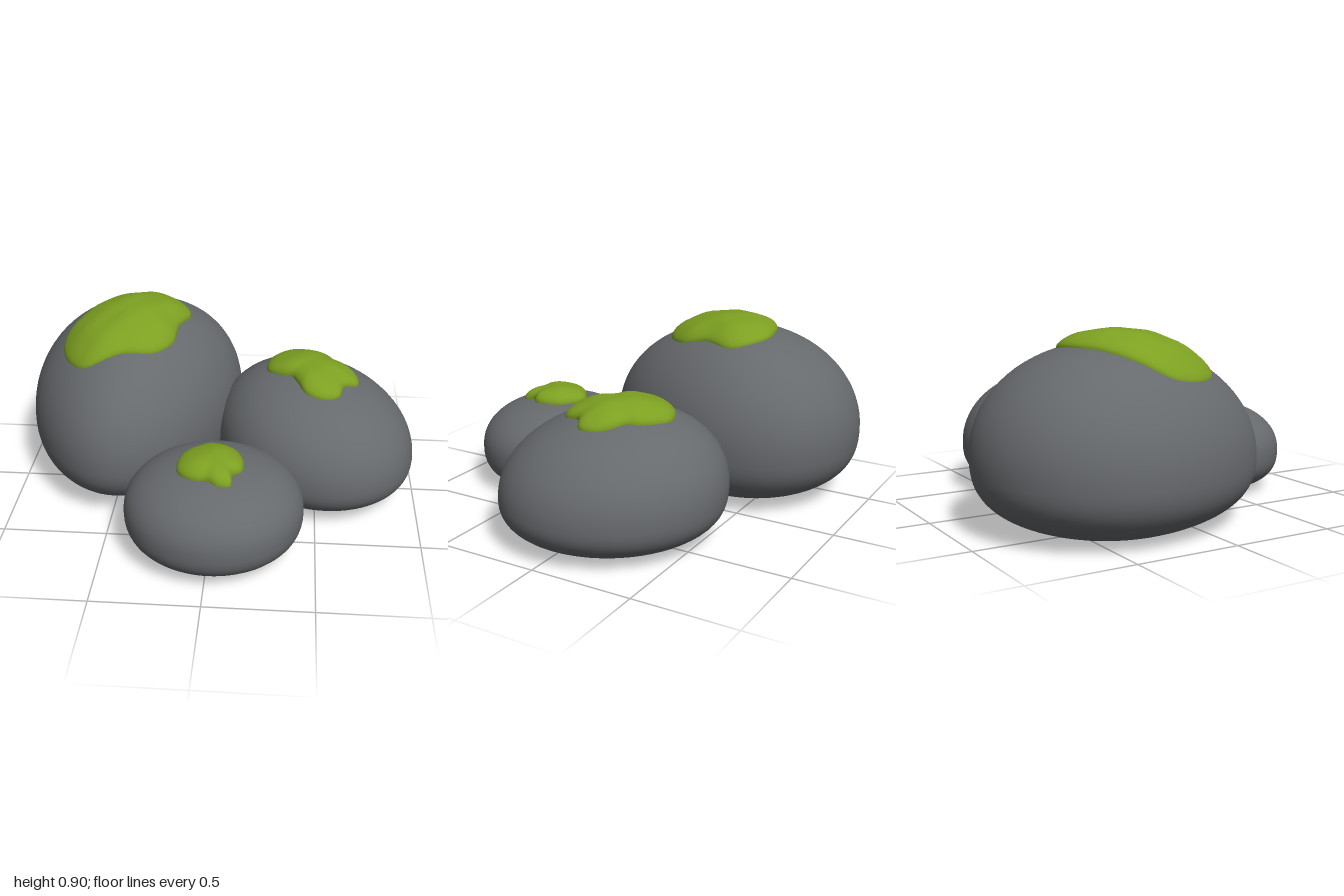
import * as THREE from 'three';

const SEGMENTS = 72;
const HALF_PI = Math.PI / 2;

// Closed skin over rings of points, ending in a tip (and starting from one if given)
function skin(rings, last, first) {
  const points = [...rings.flat(), last];
  const index = [];
  const tip = points.length - 1;
  const base = tip - SEGMENTS;
  if (first) points.push(first);
  for (let j = 0; j < SEGMENTS; j++) {
    const k = (j + 1) % SEGMENTS;
    for (let i = 0; i < base; i += SEGMENTS) {
      const a = i + j, b = i + k, c = a + SEGMENTS, d = b + SEGMENTS;
      index.push(a, c, b, b, c, d);
    }
    index.push(base + j, tip, base + k);
    if (first) index.push(tip + 1, j, k);
  }
  const geometry = new THREE.BufferGeometry().setFromPoints(points);
  geometry.setIndex(index);
  geometry.computeVertexNormals();
  return geometry;
}

// Boulder: an egg-shaped plan swept through a rounded side profile with a flat foot
function boulderGeometry({ centre: [cx, cz], radii: [rx, rz], height, waist, fullness, taper, skew, lean }) {
  const rows = 40;
  const rings = [];
  for (let i = 1; i < rows; i++) {
    const a = -HALF_PI + Math.PI * i / rows;
    const power = 2 / (a < 0 ? 2.6 : fullness);
    const r = Math.cos(a) ** power;
    const rise = Math.abs(Math.sin(a)) ** power;
    const y = a < 0 ? Math.max(0, waist * (1 - 1.04 * rise)) : waist + (height - waist) * rise;
    const shift = (y / height) ** 2;
    rings.push(Array.from({ length: SEGMENTS }, (_, j) => {
      const t = 2 * Math.PI * j / SEGMENTS;
      const s = Math.sin(t);
      const x = rx * Math.cos(t) * (1 - taper * s) + skew * s;
      return new THREE.Vector3(cx + x * r + lean[0] * shift, y, cz + rz * s * r + lean[1] * shift);
    }));
  }
  return skin(rings, new THREE.Vector3(cx + lean[0], height, cz + lean[1]), new THREE.Vector3(cx, 0, cz));
}

// Moss: a padded patch draped over its boulder; reach holds its radii at equal angles
function mossGeometry({ centre: [cx, cz], reach }, boulder) {
  const thickness = 0.055;
  const rows = 16;
  const ray = new THREE.Raycaster();
  const down = new THREE.Vector3(0, -1, 0);
  const drape = (x, z, h) => {
    ray.set(new THREE.Vector3(x, 3, z), down);
    const [hit] = ray.intersectObject(boulder);
    const lump = 0.004 * Math.sin(x * 31) * Math.sin(z * 27 + 1);
    return new THREE.Vector3(x, hit.point.y + h * (thickness + lump), z);
  };
  const rim = new THREE.CatmullRomCurve3(reach.map((r, i) => {
    const t = 2 * Math.PI * i / reach.length;
    return new THREE.Vector3(r * Math.cos(t), 0, r * Math.sin(t));
  }), true).getPoints(SEGMENTS).slice(0, SEGMENTS);
  const rings = [];
  for (let i = 0; i < rows; i++) {
    // The rim tucks under into the stone, then rounds over to a broad flat top
    const a = -0.35 + (HALF_PI + 0.35) * i / rows;
    const r = Math.cos(a) ** 0.8;
    const h = Math.sign(a) * Math.abs(Math.sin(a)) ** 0.8;
    rings.push(rim.map(p => drape(cx + p.x * r, cz + p.z * r, h)));
  }
  return skin(rings, drape(cx, cz, 1));
}

const ROCKS = [
  {
    name: 'large', centre: [-0.455, -0.25], radii: [0.535, 0.67], height: 0.843, waist: 0.32,
    fullness: 2, taper: 0.17, skew: -0.035, lean: [0.03, -0.04],
    moss: {
      centre: [-0.46, -0.2],
      reach: [0.25, 0.27, 0.285, 0.28, 0.36, 0.345, 0.325, 0.265, 0.25, 0.28, 0.335, 0.34],
    },
  },
  {
    name: 'medium', centre: [0.5, -0.1], radii: [0.492, 0.51], height: 0.613, waist: 0.23,
    fullness: 2.05, taper: 0, skew: 0.06, lean: [-0.07, -0.03],
    moss: {
      centre: [0.47, -0.13],
      reach: [0.22, 0.235, 0.2, 0.25, 0.25, 0.215, 0.155, 0.135, 0.17,
        0.225, 0.245, 0.255, 0.25, 0.235, 0.2, 0.175, 0.155, 0.185],
    },
  },
  {
    name: 'small', centre: [0.02, 0.52], radii: [0.42, 0.405], height: 0.45, waist: 0.2,
    fullness: 2.2, taper: 0, skew: 0, lean: [0, 0],
    moss: {
      centre: [0.02, 0.54],
      reach: [0.14, 0.14, 0.125, 0.175, 0.16, 0.13, 0.145, 0.16, 0.17,
        0.165, 0.16, 0.155, 0.15, 0.16, 0.155, 0.145, 0.145, 0.14],
    },
  },
];

export function createModel() {
  const stone = new THREE.MeshStandardMaterial({ color: 0x676a6d });
  stone.name = 'stone grey';
  const green = new THREE.MeshStandardMaterial({ color: 0x7da021 });
  green.name = 'moss green';

  const model = new THREE.Group();
  model.name = 'mossyBoulders';
  for (const rock of ROCKS) {
    const boulder = new THREE.Mesh(boulderGeometry(rock), stone);
    boulder.name = `${rock.name}Boulder`;
    const moss = new THREE.Mesh(mossGeometry(rock.moss, boulder), green);
    moss.name = `${rock.name}Moss`;
    model.add(boulder, moss);
  }
  return model;
}
